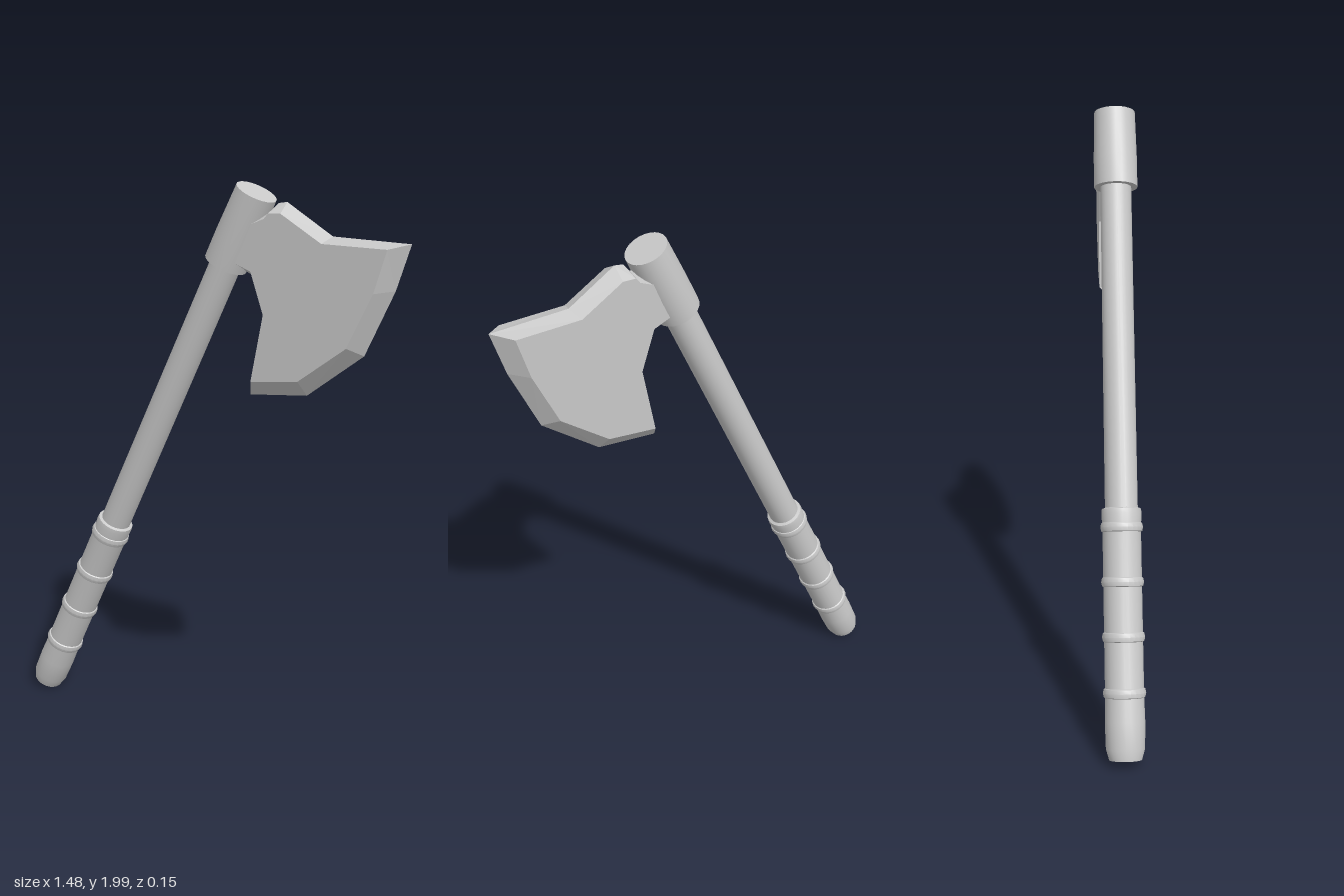
import * as THREE from 'three';
import { toCreasedNormals } from 'three/addons/utils/BufferGeometryUtils.js';

const steel = new THREE.MeshStandardMaterial({ color: 0xc8c8c8 });
steel.name = 'plain grey';

// Turned part from [radius, distance along the handle] pairs
function turned(name, profile) {
  const points = profile.map(([r, y]) => new THREE.Vector2(r, y));
  const geometry = toCreasedNormals(new THREE.LatheGeometry(points, 24), 0.5);
  const mesh = new THREE.Mesh(geometry, steel);
  mesh.name = name;
  return mesh;
}

// Plate with a flat face on each side, bevelled to an outer edge at z = 0.
// Both loops run clockwise seen from the front.
function bevelledPlate(edge, face, halfThickness) {
  const positions = [];
  const at = ([x, y], z) => [x, y, z];
  const contour = face.map(([x, y]) => new THREE.Vector2(x, y));
  const triangles = THREE.ShapeUtils.triangulateShape(contour, []);
  for (const side of [1, -1]) {
    const z = side * halfThickness;
    // corners are given counter-clockwise for the front and swapped for the back
    const put = (a, b, c) => positions.push(...a, ...(side > 0 ? b : c), ...(side > 0 ? c : b));
    for (const [a, b, c] of triangles) {
      const clockwise = THREE.ShapeUtils.isClockWise([contour[a], contour[b], contour[c]]);
      const [p, q] = clockwise ? [c, b] : [b, c];
      put(at(face[a], z), at(face[p], z), at(face[q], z));
    }
    for (let i = 0; i < face.length; i++) {
      const j = (i + 1) % face.length;
      put(at(face[i], z), at(edge[j], 0), at(edge[i], 0));
      put(at(face[i], z), at(face[j], z), at(edge[j], 0));
    }
  }
  const geometry = new THREE.BufferGeometry();
  geometry.setAttribute('position', new THREE.Float32BufferAttribute(positions, 3));
  geometry.computeVertexNormals();
  return geometry;
}

export function createModel() {
  const axe = new THREE.Group();
  axe.name = 'axe';

  // Leaning handle, built upright from its butt end
  const handle = new THREE.Group();
  handle.name = 'handle';
  handle.position.set(-0.692, 0.027, 0);
  handle.rotation.z = -0.433;
  axe.add(handle);

  handle.add(turned('shaft', [[0.054, 0.7], [0.052, 1.92]]));
  handle.add(turned('grip', [
    [0, 0], [0.053, 0], [0.063, 0.035], [0.065, 0.12], [0.063, 0.2],
    [0.063, 0.74], [0.066, 0.785], [0.064, 0.8], [0.05, 0.805],
  ]));

  // Raised binding rings
  for (const y of [0.21, 0.387, 0.563, 0.74]) {
    handle.add(turned('gripRing', [
      [0.06, y - 0.017], [0.067, y - 0.013], [0.07, y],
      [0.067, y + 0.013], [0.06, y + 0.017],
    ]));
  }

  // Socket of the axe head
  handle.add(turned('socket', [
    [0.05, 1.88], [0.073, 1.88], [0.073, 1.98], [0.069, 2.14], [0, 2.14],
  ]));

  // Blade: each row is a point on the sharp edge, then one on the flat face
  const pairs = [
    [0.18, 1.88, 0.18, 1.86], [0.265, 1.915, 0.26, 1.895], [0.285, 1.94, 0.275, 1.913],
    [0.315, 1.945, 0.318, 1.915], [0.475, 1.85, 0.46, 1.833], [0.735, 1.847, 0.678, 1.833],
    [0.69, 1.7, 0.638, 1.695], [0.595, 1.485, 0.555, 1.515], [0.4, 1.33, 0.39, 1.387],
    [0.194, 1.306, 0.22, 1.364], [0.247, 1.582, 0.262, 1.59],
    [0.195, 1.704, 0.215, 1.725], [0.15, 1.725, 0.15, 1.75],
  ];
  const blade = new THREE.Mesh(
    bevelledPlate(pairs.map((p) => p.slice(0, 2)), pairs.map((p) => p.slice(2)), 0.053),
    steel,
  );
  blade.name = 'blade';
  axe.add(blade);

  return axe;
}
